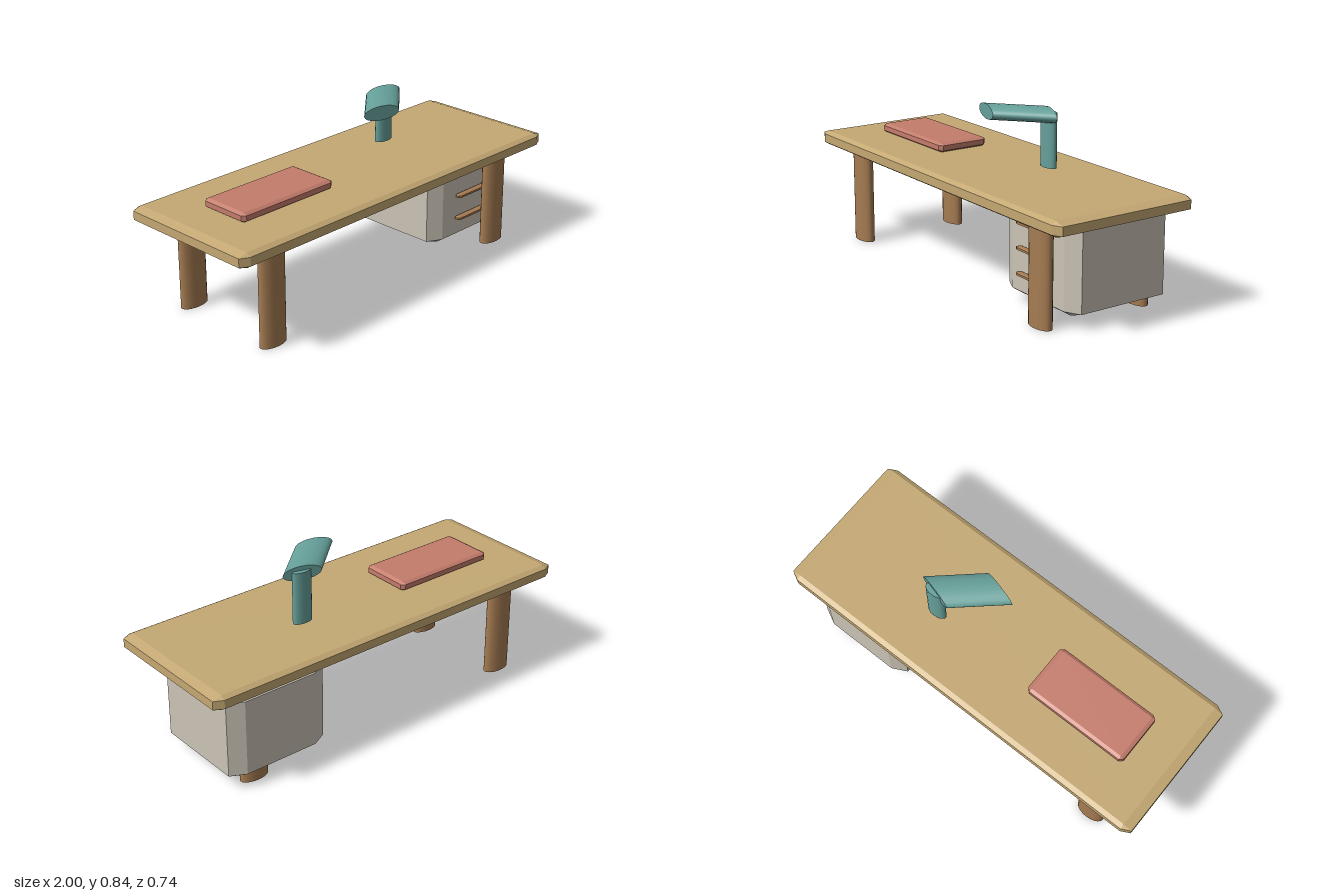
import * as THREE from 'three';
import { ConvexGeometry } from 'three/addons/geometries/ConvexGeometry.js';

const material = (name, color) => {
  const m = new THREE.MeshStandardMaterial({ color });
  m.name = name;
  return m;
};

// Box between two corners with every edge cut by a chamfer c = [cx, cy, cz]
function chamferBox(min, max, c) {
  const half = min.map((v, i) => (max[i] - v) / 2);
  const mid = min.map((v, i) => (max[i] + v) / 2);
  const points = [];
  for (const sx of [-1, 1]) for (const sy of [-1, 1]) for (const sz of [-1, 1]) {
    const s = [sx, sy, sz];
    for (let face = 0; face < 3; face++) {
      const p = s.map((sign, i) => mid[i] + sign * (half[i] - (i === face ? 0 : c[i])));
      points.push(new THREE.Vector3(...p));
    }
  }
  return new ConvexGeometry(points);
}

// Upright cylinder with an oval section
function ovalPost(rx, rz, y0, y1) {
  return new THREE.CylinderGeometry(1, 1, y1 - y0, 20).scale(rx, 1, rz).translate(0, (y0 + y1) / 2, 0);
}

export function createModel() {
  const desk = new THREE.Group();
  desk.name = 'desk';
  const tan = material('tan wood', 0xc4a873);
  const brown = material('brown wood', 0xa67c52);
  const grey = material('warm grey', 0xcbc4b6);
  const red = material('muted red', 0xc47c6c);
  const teal = material('teal', 0x66a09a);

  const add = (name, geometry, mat, x = 0, y = 0, z = 0) => {
    const mesh = new THREE.Mesh(geometry, mat);
    mesh.name = name;
    mesh.position.set(x, y, z);
    desk.add(mesh);
  };

  // Table top and four oval legs
  add('tableTop', chamferBox([-1, 0.465, -0.368], [1, 0.535, 0.368], [0.045, 0.014, 0.023]), tan);
  const leg = ovalPost(0.0725, 0.0375, 0, 0.47);
  for (const x of [-0.748, 0.748])
    for (const z of [-0.265, 0.265]) add('leg', leg, brown, x, 0, z);

  // Drawer cabinet with three pulls
  add('drawerCabinet', chamferBox([0.375, 0.05, -0.328], [0.9, 0.467, 0.2], [0.075, 0.025, 0.038]), grey);
  const pull = chamferBox([-0.1125, -0.009, -0.017], [0.1125, 0.009, 0.017], [0.015, 0.004, 0.008]);
  for (const y of [0.17, 0.288, 0.405]) add('drawerPull', pull, brown, 0.6375, y, 0.225);

  // Desk mat
  add('deskMat', chamferBox([-0.78, 0.535, -0.132], [-0.235, 0.58, 0.132], [0.018, 0.01, 0.016]), red);

  // Lamp: oval post and a slanted oval head lying level
  add('lampPost', ovalPost(0.051, 0.0265, 0.56, 0.815), teal, 0.327, 0, -0.087);
  const skew = new THREE.Matrix4().makeBasis(
    new THREE.Vector3(0.091, 0, 0.025),
    new THREE.Vector3(0.219, 0, -0.196),
    new THREE.Vector3(0, 0.035, 0)
  );
  add('lampHead', new THREE.CylinderGeometry(1, 1, 1, 20).applyMatrix4(skew), teal, 0.2165, 0.801, 0.007);

  return desk;
}
